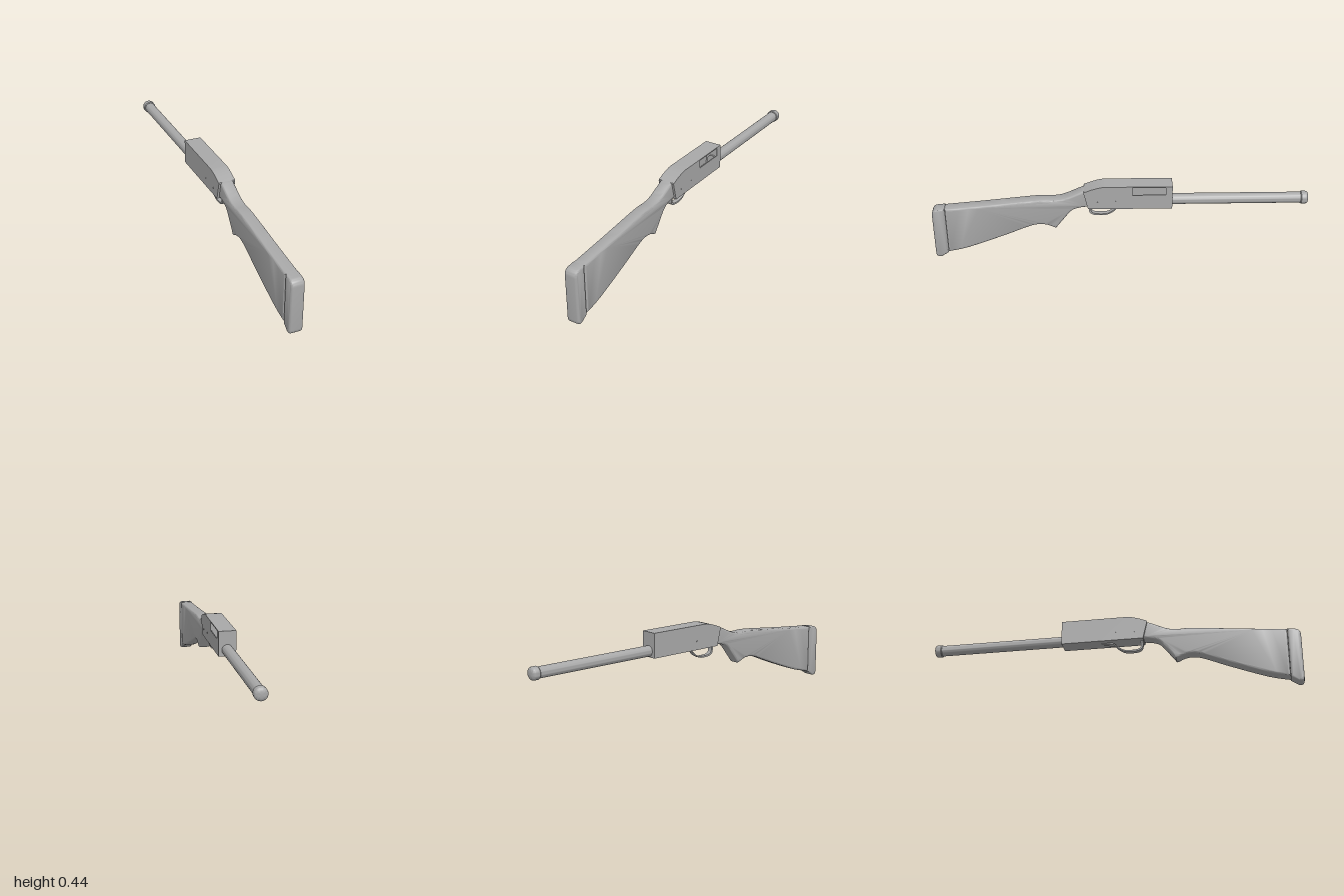
import * as THREE from 'three';
import { toCreasedNormals } from 'three/addons/utils/BufferGeometryUtils.js';

export function createModel() {
  const model = new THREE.Group();
  model.name = 'longGun';
  const grey = new THREE.MeshStandardMaterial({ color: 0xa8a8a8 });
  grey.name = 'grey';

  const add = (name, geometry, x = 0, y = 0, z = 0, parent = model) => {
    const mesh = new THREE.Mesh(geometry, grey);
    mesh.name = name;
    mesh.position.set(x, y, z);
    parent.add(mesh);
    return mesh;
  };
  const vec = (pts) => pts.map(([z, y]) => new THREE.Vector2(z, y));
  const spline = (pts, n) => new THREE.SplineCurve(vec(pts)).getPoints(n);

  // Side profile in (z, y), extruded across x, optionally with rounded edges
  const slab = (shape, width, bevel = 0) => {
    const g = new THREE.ExtrudeGeometry(shape, {
      depth: width - 2 * bevel, bevelEnabled: bevel > 0, bevelThickness: bevel,
      bevelSize: bevel, bevelOffset: -bevel, bevelSegments: 4, curveSegments: 8,
    });
    g.translate(0, 0, -(width - 2 * bevel) / 2);
    g.rotateY(-Math.PI / 2);
    return toCreasedNormals(g, 0.6);
  };

  // Shoulder stock with a curved grip
  const top = spline([[0.93, 0.303], [0.7, 0.325], [0.44, 0.352], [0.35, 0.352],
    [0.29, 0.364], [0.2, 0.404], [0.16, 0.41]], 30);
  const gripFront = spline([[0.155, 0.312], [0.22, 0.303], [0.26, 0.284], [0.3, 0.235], [0.342, 0.18]], 16);
  const belly = spline([[0.352, 0.181], [0.39, 0.198], [0.44, 0.202], [0.5, 0.185],
    [0.62, 0.135], [0.82, 0.06], [0.93, 0.034]], 24);
  add('stock', slab(new THREE.Shape([...top, ...gripFront, ...belly]), 0.07, 0.012));

  // Rounded butt pad
  const pad = new THREE.Shape();
  pad.moveTo(0.931, 0.305);
  pad.lineTo(0.965, 0.302);
  pad.quadraticCurveTo(1, 0.299, 1, 0.265);
  pad.lineTo(1, 0.025);
  pad.quadraticCurveTo(0.998, -0.004, 0.97, 0.003);
  pad.lineTo(0.931, 0.028);
  add('buttPad', slab(pad, 0.072, 0.012));

  // Receiver: solid rear body with a sloped top
  const W = 0.092, Y0 = 0.305, Y1 = 0.438, Z0 = -0.275, Z1 = -0.06, T = 0.005;
  const body = new THREE.Shape(vec([[Z1, Y0], [0.17, Y0], [0.193, 0.402], [0.19, 0.407], [0.155, 0.421],
    [0.12, 0.432], [0.095, 0.437], [0.08, Y1], [Z1, Y1]]));
  add('receiverBody', slab(body, W));

  // Hollow receiver front with an opening on the left side
  const front = new THREE.Group();
  front.name = 'receiverFront';
  model.add(front);
  const len = Z1 - Z0, zm = (Z0 + Z1) / 2, ym = (Y0 + Y1) / 2;
  const side = new THREE.Shape(vec([[Z0, Y0], [Z1, Y0], [Z1, Y1], [Z0, Y1]]));
  side.holes.push(new THREE.Path(vec([[-0.24, 0.388], [-0.24, 0.432], [-0.064, 0.432], [-0.064, 0.388]])));
  add('portWall', slab(side, T), W / 2 - T / 2, 0, 0, front);
  add('plainWall', new THREE.BoxGeometry(T, Y1 - Y0, len), -W / 2 + T / 2, ym, zm, front);
  add('roof', new THREE.BoxGeometry(W - 2 * T, T, len), 0, Y1 - T / 2, zm, front);
  add('floor', new THREE.BoxGeometry(W - 2 * T, T, len), 0, Y0 + T / 2, zm, front);
  add('endWall', new THREE.BoxGeometry(W - 2 * T, Y1 - Y0 - 2 * T, T), 0, ym, Z0 + T / 2, front);

  // Small cross pins showing on both sides
  for (const [z, y] of [[0.02, 0.352], [0.12, 0.345]]) {
    const pin = add('crossPin', new THREE.CylinderGeometry(0.004, 0.004, W + 0.004, 12), 0, y, z);
    pin.rotation.z = Math.PI / 2;
  }

  // Curved strap below the receiver
  const outer = [[0.165, 0.31], [0.165, 0.272], [0.148, 0.252], [0.11, 0.246],
    [0.07, 0.249], [0.035, 0.268], [0.005, 0.294], [-0.06, 0.302]];
  const inner = [[-0.06, 0.308], [0, 0.304], [0.03, 0.28], [0.065, 0.258],
    [0.11, 0.255], [0.142, 0.26], [0.155, 0.276], [0.155, 0.31]];
  add('guardStrap', slab(new THREE.Shape([...spline(outer, 28), ...spline(inner, 28)]), 0.026));

  // Round tube and its domed end cap, both lathed and laid along -z
  const lathe = (pts) => {
    const g = new THREE.LatheGeometry(vec(pts), 32);
    g.rotateX(-Math.PI / 2);
    return toCreasedNormals(g, 0.6);
  };
  add('barrel', lathe([[0, 0.26], [0.029, 0.26], [0.029, 0.97], [0, 0.97]]), 0, 0.338, 0);
  add('endCap', lathe([[0, 0.958], [0.031, 0.958], [0.034, 0.962], [0.034, 0.984], [0.032, 0.991],
    [0.027, 0.996], [0.015, 0.999], [0, 1]]), 0, 0.338, 0);

  return model;
}
